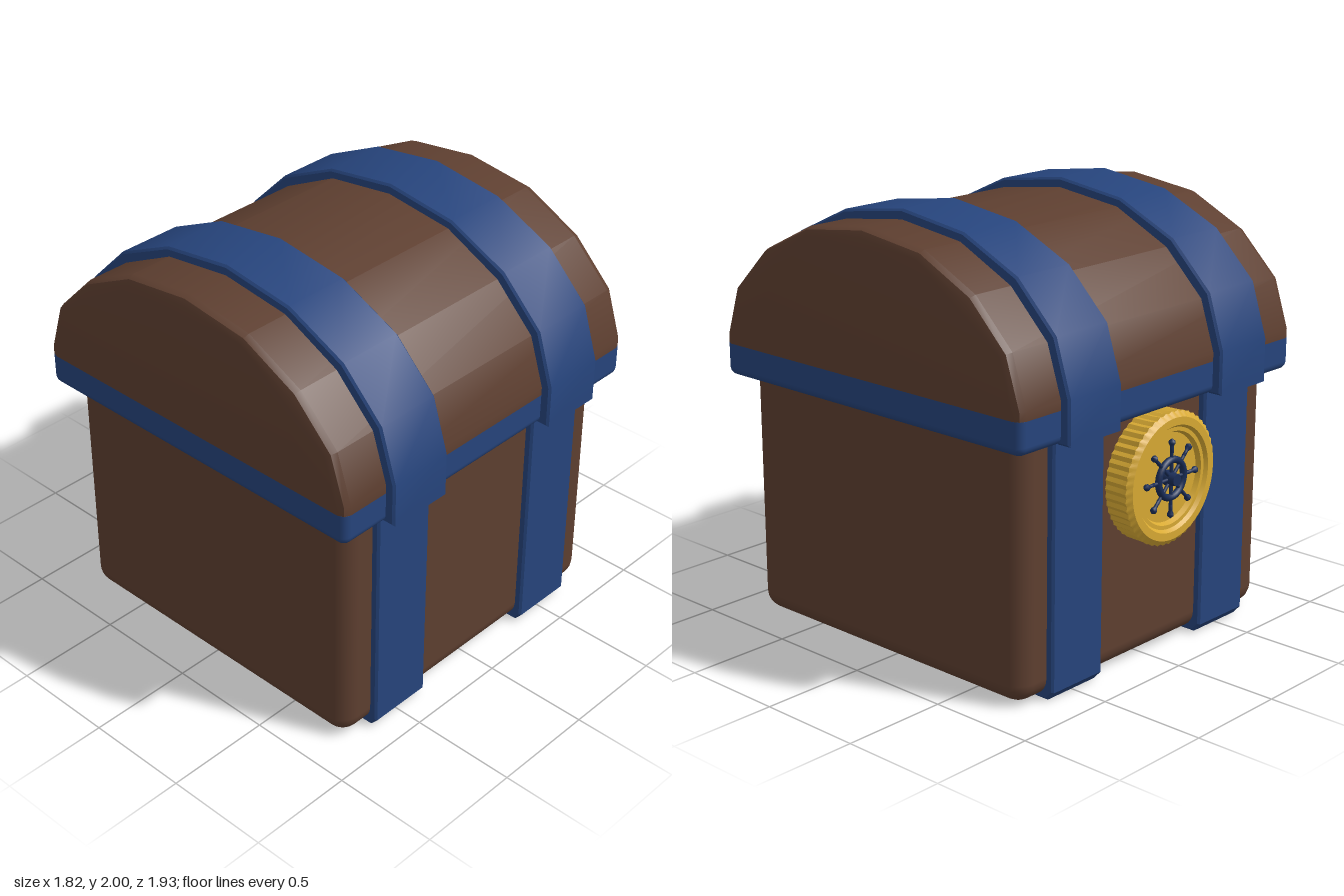
import * as THREE from 'three';
import { toCreasedNormals } from 'three/addons/utils/BufferGeometryUtils.js';
import { RoundedBoxGeometry } from 'three/addons/geometries/RoundedBoxGeometry.js';

const CZ = 0.02; // depth centre of the chest

const material = (name, color) => {
  const m = new THREE.MeshStandardMaterial({ color });
  m.name = name;
  return m;
};

const part = (parent, name, geometry, mat) => {
  const mesh = new THREE.Mesh(geometry, mat);
  mesh.name = name;
  parent.add(mesh);
  return mesh;
};

// mirror a half profile [depth, height] ending on the centre line
const mirrorProfile = (half) => [
  ...half,
  ...half.slice(0, -1).reverse().map(([z, y]) => [-z, y]),
];

// extrude a [depth, height] outline across x, with bevelled ends
function extrudeAcross(points, width, bevel, segments, clampY = -1) {
  const shape = new THREE.Shape(points.map(([z, y]) => new THREE.Vector2(z, y)));
  const g = new THREE.ExtrudeGeometry(shape, {
    depth: width - 2 * bevel, bevelThickness: bevel, bevelSize: bevel,
    bevelOffset: -bevel, bevelSegments: segments,
  });
  g.translate(0, 0, bevel - width / 2);
  g.rotateY(-Math.PI / 2);
  g.translate(0, 0, CZ);
  const p = g.attributes.position;
  for (let i = 0; i < p.count; i++) p.setY(i, Math.max(p.getY(i), clampY));
  g.computeVertexNormals();
  return toCreasedNormals(g, 0.5);
}

export function createModel() {
  const chest = new THREE.Group();
  chest.name = 'treasureChest';
  const brown = material('brown wood', 0x5e3f30);
  const blue = material('blue bands', 0x26447c);
  const gold = material('gold', 0xd8aa34);
  const navy = material('navy wheel', 0x1a2d57);

  // box body, its top tucked into the lid
  const body = new RoundedBoxGeometry(1.66, 1.27, 1.66, 3, 0.09);
  body.translate(0, 0.01 + 1.27 / 2, CZ);
  part(chest, 'body', body, brown);

  // faceted arched lid
  const lidHalf = [[0.905, 1.2], [0.905, 1.34], [0.83, 1.57], [0.63, 1.77], [0.345, 1.91], [0, 1.955]];
  part(chest, 'lid', extrudeAcross(mirrorProfile(lidHalf).reverse(), 1.82, 0.04, 2, 1.3), brown);

  // lid trim: rounded below, cut flat where the wood starts
  const trim = new RoundedBoxGeometry(1.82, 0.35, 1.81, 3, 0.04);
  trim.translate(0, 1.15 + 0.175, CZ);
  const tp = trim.attributes.position;
  for (let i = 0; i < tp.count; i++) tp.setY(i, Math.min(tp.getY(i), 1.3));
  part(chest, 'lidTrim', trim, blue);

  // bands over the lid and down the body
  const outerHalf = [[0.95, 1.15], [0.95, 1.35], [0.87, 1.6], [0.66, 1.81], [0.36, 1.95], [0, 2]];
  const innerHalf = [[0.88, 1.15], [0.88, 1.33], [0.8, 1.55], [0.61, 1.74], [0.33, 1.87], [0, 1.91]];
  const lidBand = extrudeAcross([...mirrorProfile(outerHalf), ...mirrorProfile(innerHalf).reverse()], 0.33, 0.01, 1);
  const bodyBand = [[0.865, 1.2], [0.8, 1.2], [0.78, 0.08], [0.74, 0.04], [0.76, 0], [0.83, 0], [0.865, 0.04]];
  const frontBand = extrudeAcross(bodyBand, 0.32, 0.01, 1);
  const backBand = extrudeAcross(bodyBand.map(([z, y]) => [-z, y]), 0.32, 0.01, 1);
  for (const [side, x] of [['left', 0.5], ['right', -0.5]]) {
    part(chest, side + 'LidBand', lidBand, blue).position.x = x;
    part(chest, side + 'FrontBand', frontBand, blue).position.x = x;
    part(chest, side + 'BackBand', backBand, blue).position.x = x;
  }

  // round medallion on the back, facing -z (local y points outward)
  const medallion = new THREE.Group();
  medallion.name = 'medallion';
  medallion.position.set(0, 0.855, 0);
  medallion.rotation.x = -Math.PI / 2;
  chest.add(medallion);

  const coinProfile = [
    [0.295, 0.8], [0.298, 0.9], [0.302, 0.927], [0.275, 0.946], [0.24, 0.946],
    [0.228, 0.93], [0.21, 0.93], [0.2, 0.908], [0, 0.908],
  ].map(([r, y]) => new THREE.Vector2(r, y));
  const coin = new THREE.LatheGeometry(coinProfile, 96);
  const cp = coin.attributes.position;
  // milled edge: every other column of the rim is drawn in
  for (let i = 0; i < cp.count; i++) {
    const column = Math.floor(i / coinProfile.length);
    if (i % coinProfile.length < 3 && column % 2) {
      cp.setX(i, cp.getX(i) * 0.975);
      cp.setZ(i, cp.getZ(i) * 0.975);
    }
  }
  part(medallion, 'coin', toCreasedNormals(coin, 0.45), gold);

  // ship's wheel emblem
  const wheel = new THREE.Group();
  wheel.name = 'wheel';
  wheel.position.y = 0.932;
  medallion.add(wheel);
  const ring = new THREE.TorusGeometry(0.085, 0.016, 8, 32);
  ring.rotateX(Math.PI / 2);
  part(wheel, 'wheelRing', ring, navy);
  const hub = new THREE.CylinderGeometry(0.026, 0.035, 0.056, 20);
  part(wheel, 'wheelHub', hub, navy).position.y = 0.005;

  const spoke = new THREE.CylinderGeometry(0.008, 0.008, 0.15, 8);
  spoke.rotateZ(-Math.PI / 2).translate(0.085, 0, 0);
  const handle = new THREE.LatheGeometry(
    [[0, 0.115], [0.009, 0.118], [0.007, 0.145], [0.015, 0.16], [0.015, 0.17], [0, 0.182]]
      .map(([r, y]) => new THREE.Vector2(r, y)), 10);
  handle.rotateZ(-Math.PI / 2);
  for (let i = 0; i < 8; i++) {
    const arm = new THREE.Group();
    arm.name = 'wheelArm' + (i + 1);
    arm.rotation.y = (i * Math.PI) / 4;
    part(arm, 'spoke', spoke, navy);
    part(arm, 'handle', handle, navy);
    wheel.add(arm);
  }
  return chest;
}
